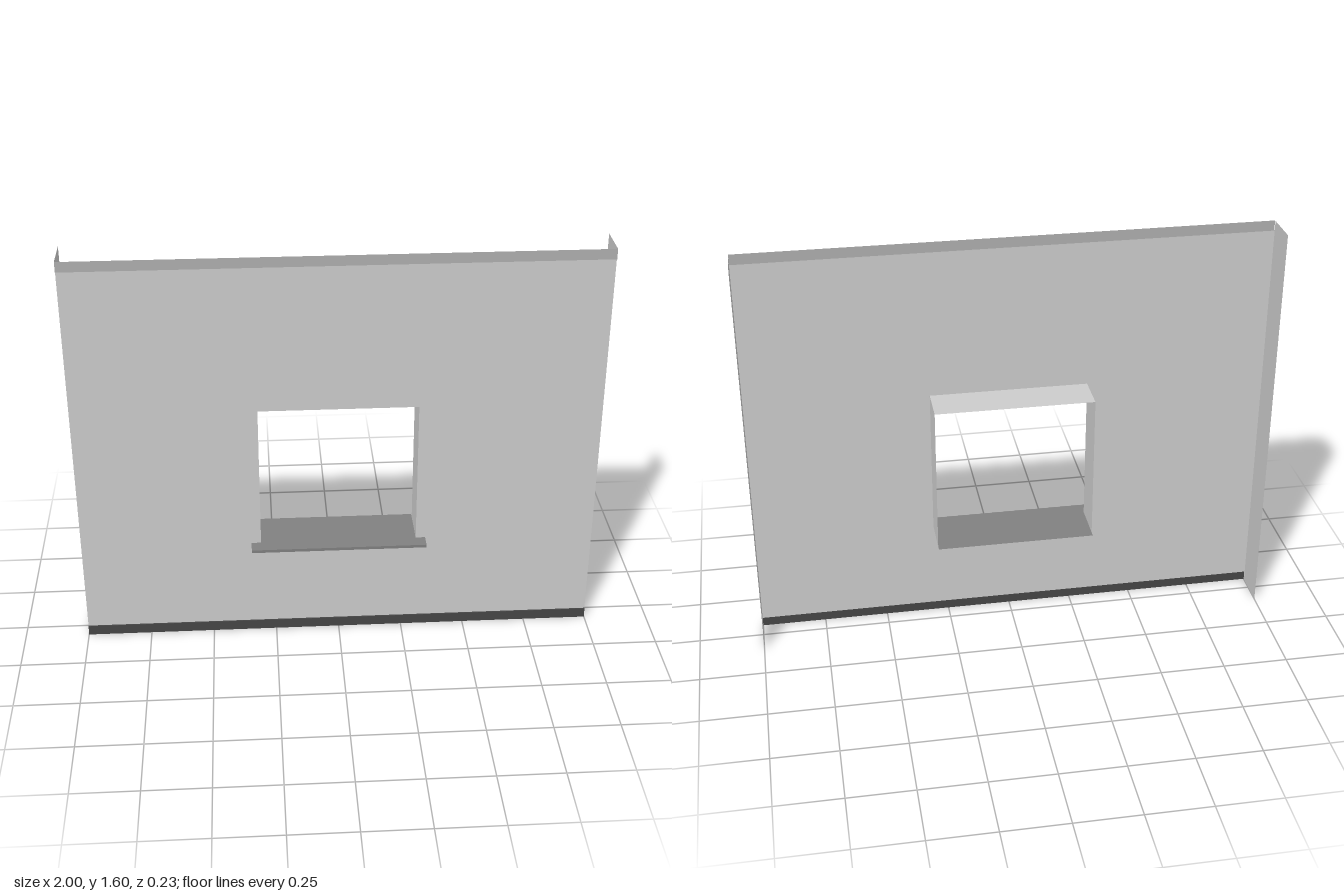
import * as THREE from 'three';

const W = 1;          // half width of the panel
const H = 1.6;        // panel height
const FACE = 0.058;   // z of the main sheet
const BACK = -0.087;  // rear edge of the side flanges
const TRIM = 0.063;   // z of the edge trims
const BAND = 0.04;    // trim height
const HOLE = { x: 0.303, y0: 0.4, y1: 0.983 };

const material = (color) =>
  new THREE.MeshStandardMaterial({ color, side: THREE.DoubleSide, flatShading: true });
const grey = material(0xcccccc);
const topGrey = material(0xaeaeae);
const baseGrey = material(0x464646);
const sillGrey = material(0x808080);

function add(parent, name, geometry, mat) {
  const mesh = new THREE.Mesh(geometry, mat);
  mesh.name = name;
  parent.add(mesh);
  return mesh;
}

// Thin sheet facing front, up or sideways
function upright(x0, x1, y0, y1, z) {
  return new THREE.PlaneGeometry(x1 - x0, y1 - y0).translate((x0 + x1) / 2, (y0 + y1) / 2, z);
}
function level(x0, x1, z0, z1, y) {
  return new THREE.PlaneGeometry(x1 - x0, z1 - z0).rotateX(-Math.PI / 2)
    .translate((x0 + x1) / 2, y, (z0 + z1) / 2);
}
function sideways(x, y0, y1, z0, z1) {
  return new THREE.PlaneGeometry(z1 - z0, y1 - y0).rotateY(Math.sign(x) * Math.PI / 2)
    .translate(x, (y0 + y1) / 2, (z0 + z1) / 2);
}

function rectangle(Type, x, y0, y1) {
  const r = new Type();
  r.moveTo(-x, y0).lineTo(x, y0).lineTo(x, y1).lineTo(-x, y1).closePath();
  return r;
}

export function createModel() {
  const model = new THREE.Group();
  model.name = 'wallPanel';

  // Main sheet with the window opening
  const wall = rectangle(THREE.Shape, W, BAND, H - BAND);
  wall.holes.push(rectangle(THREE.Path, HOLE.x, HOLE.y0, HOLE.y1));
  add(model, 'wallSheet', new THREE.ShapeGeometry(wall).translate(0, 0, FACE), grey);

  // Flanges turned back at both ends
  for (const s of [-1, 1]) {
    add(model, s > 0 ? 'leftFlange' : 'rightFlange', sideways(s * W, 0, H, BACK, FACE), grey);
  }

  // Edge trims: a strip slightly proud of the sheet and its small return
  const trims = [['topTrim', H - BAND, H, H - BAND, topGrey], ['baseTrim', 0, BAND, BAND, baseGrey]];
  for (const [name, y0, y1, step, mat] of trims) {
    const trim = new THREE.Group();
    trim.name = name;
    add(trim, name + 'Strip', upright(-W, W, y0, y1, TRIM), mat);
    add(trim, name + 'Return', level(-W, W, FACE, TRIM, step), mat);
    model.add(trim);
  }

  // Reveal lining the opening
  const reveal = new THREE.Group();
  reveal.name = 'windowReveal';
  const revealBack = -0.095;
  for (const s of [-1, 1]) {
    add(reveal, s > 0 ? 'leftReveal' : 'rightReveal',
      sideways(s * HOLE.x, HOLE.y0, HOLE.y1, revealBack, FACE), grey);
  }
  add(reveal, 'topReveal', level(-HOLE.x, HOLE.x, revealBack, FACE, HOLE.y1), grey);
  add(reveal, 'bottomReveal', level(-HOLE.x, HOLE.x, revealBack, FACE, HOLE.y0), grey);
  model.add(reveal);

  // Sill: narrow inside the opening, wider outside, with a drip lip
  const sill = new THREE.Group();
  sill.name = 'windowSill';
  const sillY = 0.405, sillFront = 0.113, sillX = 0.34;
  add(sill, 'innerSill', level(-HOLE.x, HOLE.x, -0.118, FACE, sillY), sillGrey);
  add(sill, 'outerSill', level(-sillX, sillX, FACE, sillFront, sillY), sillGrey);
  add(sill, 'sillLip', upright(-sillX, sillX, 0.393, sillY, sillFront), sillGrey);
  model.add(sill);

  return model;
}
